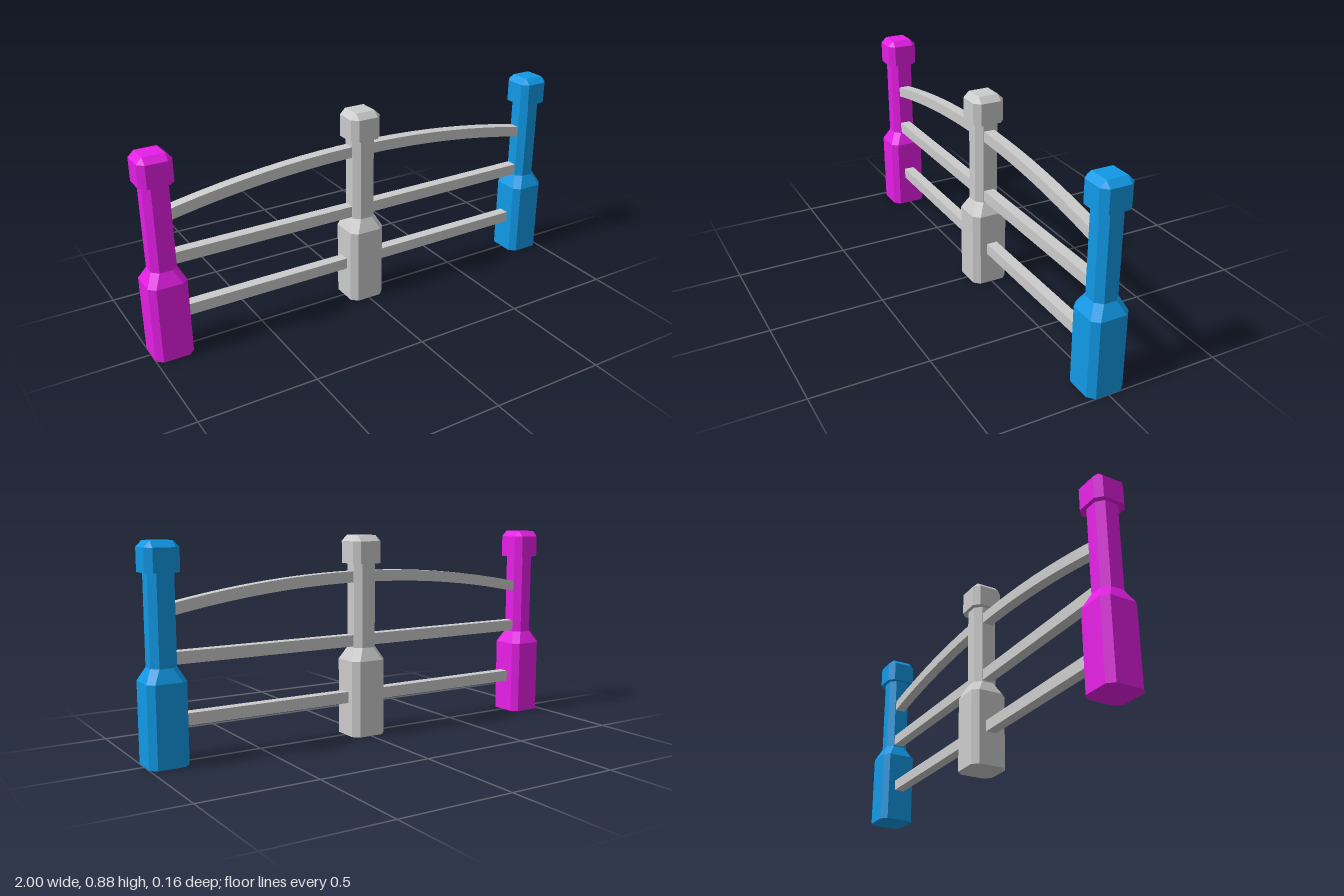
import * as THREE from 'three';

const POST_X = 0.918;

// Square section with cut corners: half = half width, flat = half width of the flat face
function section(half, flat, y) {
  const h = half, f = flat;
  return [[h, f], [f, h], [-f, h], [-h, f], [-h, -f], [-f, -h], [f, -h], [h, -f]]
    .map(([x, z]) => new THREE.Vector3(x, y, z));
}

// Skin a stack of sections, bottom to top, and close both ends
function loft(rings) {
  const pos = [];
  const tri = (a, b, c) => {
    const area = b.clone().sub(a).cross(c.clone().sub(a)).length();
    if (area > 1e-9) for (const p of [a, b, c]) pos.push(p.x, p.y, p.z);
  };
  const n = rings[0].length;
  for (let r = 0; r < rings.length - 1; r++) {
    const lo = rings[r], hi = rings[r + 1];
    for (let i = 0; i < n; i++) {
      const j = (i + 1) % n;
      tri(lo[i], hi[i], hi[j]);
      tri(lo[i], hi[j], lo[j]);
    }
  }
  const bottom = rings[0], top = rings[rings.length - 1];
  for (let i = 1; i < n - 1; i++) {
    tri(bottom[0], bottom[i], bottom[i + 1]);
    tri(top[0], top[i + 1], top[i]);
  }
  const g = new THREE.BufferGeometry();
  g.setAttribute('position', new THREE.Float32BufferAttribute(pos, 3));
  g.computeVertexNormals();
  return g;
}

function named(name, geometry, material) {
  const mesh = new THREE.Mesh(geometry, material);
  mesh.name = name;
  return mesh;
}

export function createModel() {
  const model = new THREE.Group();
  model.name = 'fence';
  const paint = (color) => new THREE.MeshStandardMaterial({ color, flatShading: true });
  const grey = paint(0xcccccc);

  // Posts: wide foot, sloped shoulder, slim shaft and a bevelled cap
  const shaftGeometry = loft([
    section(0.082, 0.056, 0),
    section(0.082, 0.056, 0.335),
    section(0.054, 0.027, 0.39),
    section(0.054, 0.027, 0.77),
  ]);
  const capGeometry = loft([
    section(0.071, 0.045, 0.757),
    section(0.071, 0.045, 0.853),
    section(0.045, 0.045, 0.878),
  ]);
  const posts = [
    ['rightPost', -POST_X, paint(0xe61ee6)],
    ['middlePost', 0, grey],
    ['leftPost', POST_X, paint(0x1099e6)],
  ];
  for (const [name, x, material] of posts) {
    const post = new THREE.Group();
    post.name = name;
    post.position.x = x;
    post.add(named('shaft', shaftGeometry, material), named('cap', capGeometry, material));
    model.add(post);
  }

  // Straight rails running between the posts
  for (const [name, y] of [['lowerRail', 0.172], ['middleRail', 0.421]]) {
    const rail = named(name, new THREE.BoxGeometry(2 * POST_X, 0.05, 0.048), grey);
    rail.position.y = y;
    model.add(rail);
  }

  // Top rail: a box bent into a shallow arch
  const arch = new THREE.BoxGeometry(2 * POST_X, 0.048, 0.048, 20, 1, 1);
  const p = arch.attributes.position;
  for (let i = 0; i < p.count; i++) {
    const x = p.getX(i);
    p.setY(i, p.getY(i) + 0.7 - 0.115 * x * x);
  }
  arch.computeVertexNormals();
  model.add(named('archedRail', arch, grey));

  return model;
}
